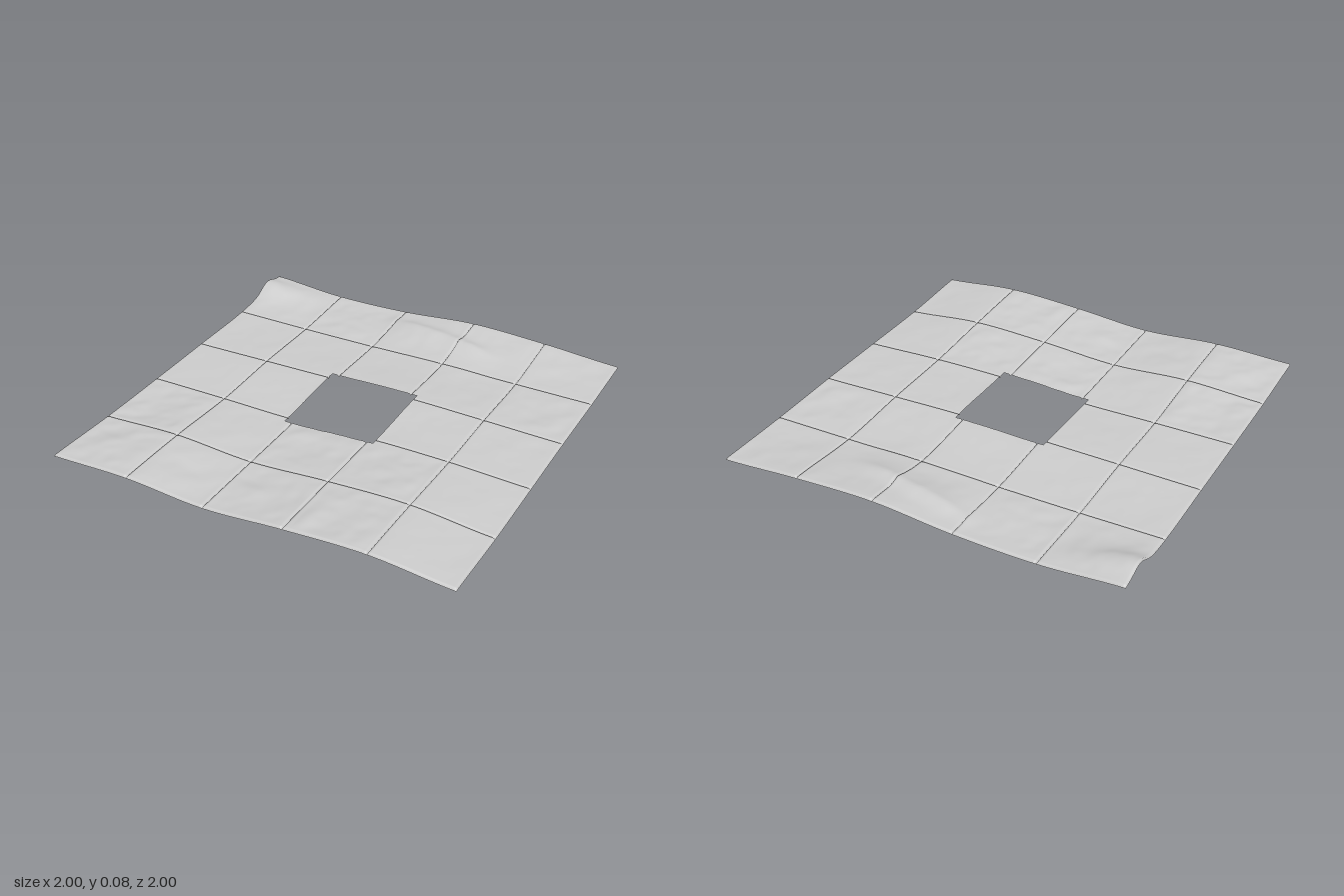
import * as THREE from 'three';

const TILE = 0.4, HOLE = 0.235;

// Ground height where the tile lines cross: rows run back to front, columns along +x
const LEVELS = [
  [0.055, 0.025, 0.030, 0.060, 0.045, 0.016],
  [0.020, 0.016, 0.016, 0.019, 0.016, 0.014],
  [0.020, 0.025, 0.030, 0.038, 0.030, 0.020],
  [0.021, 0.020, 0.017, 0.035, 0.035, 0.020],
  [0.025, 0.042, 0.020, 0.045, 0.057, 0.021],
  [0.040, 0.050, 0.025, 0.055, 0.072, 0.038],
];

// How rough each tile is, back row first
const ROUGHNESS = [
  [0.7, 0.8, 0.4, 0.4, 0.4],
  [0.25, 0.2, 0.2, 0.3, 0.7],
  [0.15, 0.25, 0.2, 0.3, 0.3],
  [1.0, 0.3, 0.9, 0.9, 0.25],
  [1.0, 0.5, 0.9, 0.9, 0.2],
];

const clamp = THREE.MathUtils.clamp;
const bell = (d, w) => Math.exp(-((d / w) ** 2));

// Smooth curve through evenly spaced values
function spline(v, t) {
  const i = clamp(Math.floor(t), 0, v.length - 2), f = t - i;
  const at = (k) => v[clamp(k, 0, v.length - 1)];
  const [a, b, c, d] = [at(i - 1), at(i), at(i + 1), at(i + 2)];
  return b + 0.5 * f * (c - a + f * (2 * a - 5 * b + 4 * c - d + f * (3 * (b - c) + d - a)));
}

// Repeatable smooth noise from -1 to 1
function hash(i, j) {
  const s = Math.sin(i * 127.1 + j * 311.7 + 17.3) * 43758.5453;
  return (s - Math.floor(s)) * 2 - 1;
}
function noise(x, z) {
  const i = Math.floor(x), j = Math.floor(z);
  const u = THREE.MathUtils.smoothstep(x - i, 0, 1), w = THREE.MathUtils.smoothstep(z - j, 0, 1);
  const lerp = THREE.MathUtils.lerp;
  return lerp(lerp(hash(i, j), hash(i + 1, j), u), lerp(hash(i, j + 1), hash(i + 1, j + 1), u), w);
}

// Distance from a coordinate to the nearest tile line
function lineDistance(a) {
  const t = (a + 1) / TILE;
  return Math.abs(t - Math.round(t)) * TILE;
}

function height(x, z) {
  const u = (x + 1) / TILE, v = (z + 1) / TILE;
  let y = spline(LEVELS.map((row) => spline(row, u)), v);

  // Hill at the back right corner and the long sharp crest along the back
  y += 0.04 * bell(x + 1, 0.2) * bell(z + 0.86, 0.08);
  const crest = z - (-0.87 + 0.2 * (x + 0.2));
  const along = THREE.MathUtils.smoothstep(x, -0.28, -0.05) * (1 - THREE.MathUtils.smoothstep(x, 0.25, 0.5));
  y += 0.024 * along * (crest < 0 ? bell(crest, 0.05) : Math.exp(-crest / 0.1));

  // Lumps, fading toward the tile lines
  const rough = ROUGHNESS[clamp(Math.floor(v), 0, 4)][clamp(Math.floor(u), 0, 4)];
  const edge = Math.min(lineDistance(x), lineDistance(z));
  const fade = THREE.MathUtils.smoothstep(edge, 0, 0.06);
  const lumps = noise(x * 9 + z * 3, z * 10) + 0.45 * noise(x * 22, z * 22 - x * 6);
  y += 0.006 * rough * fade * lumps;

  // Narrow groove on every tile line
  y -= 0.01 * Math.max(0, 1 - edge / 0.006);
  return Math.max(0, y);
}

// Grid positions, denser beside the tile lines and cut at the hole
function gridLines() {
  const lines = [-HOLE, HOLE, 1];
  for (let t = 0; t < 5; t++) {
    const s = -1 + t * TILE;
    lines.push(s, s + 0.006, s + TILE - 0.006);
    for (let k = 1; k < 26; k++) lines.push(s + (k / 26) * TILE);
  }
  return lines.sort((a, b) => a - b);
}

function groundGeometry() {
  const lines = gridLines(), n = lines.length;
  const position = [], index = [];
  for (const z of lines) for (const x of lines) position.push(x, height(x, z), z);
  for (let j = 0; j < n - 1; j++) {
    for (let i = 0; i < n - 1; i++) {
      const mx = (lines[i] + lines[i + 1]) / 2, mz = (lines[j] + lines[j + 1]) / 2;
      if (Math.abs(mx) < HOLE && Math.abs(mz) < HOLE) continue;
      const a = j * n + i, b = a + n;
      index.push(a, b, a + 1, a + 1, b, b + 1);
    }
  }
  const geometry = new THREE.BufferGeometry();
  geometry.setAttribute('position', new THREE.Float32BufferAttribute(position, 3));
  geometry.setIndex(index);
  geometry.computeVertexNormals();
  return geometry;
}

export function createModel() {
  const group = new THREE.Group();
  group.name = 'tiledTerrain';
  const stone = new THREE.MeshStandardMaterial({ color: 0xcccccc, side: THREE.DoubleSide });
  stone.name = 'pale grey';
  const ground = new THREE.Mesh(groundGeometry(), stone);
  ground.name = 'groundSheet';
  group.add(ground);
  return group;
}
